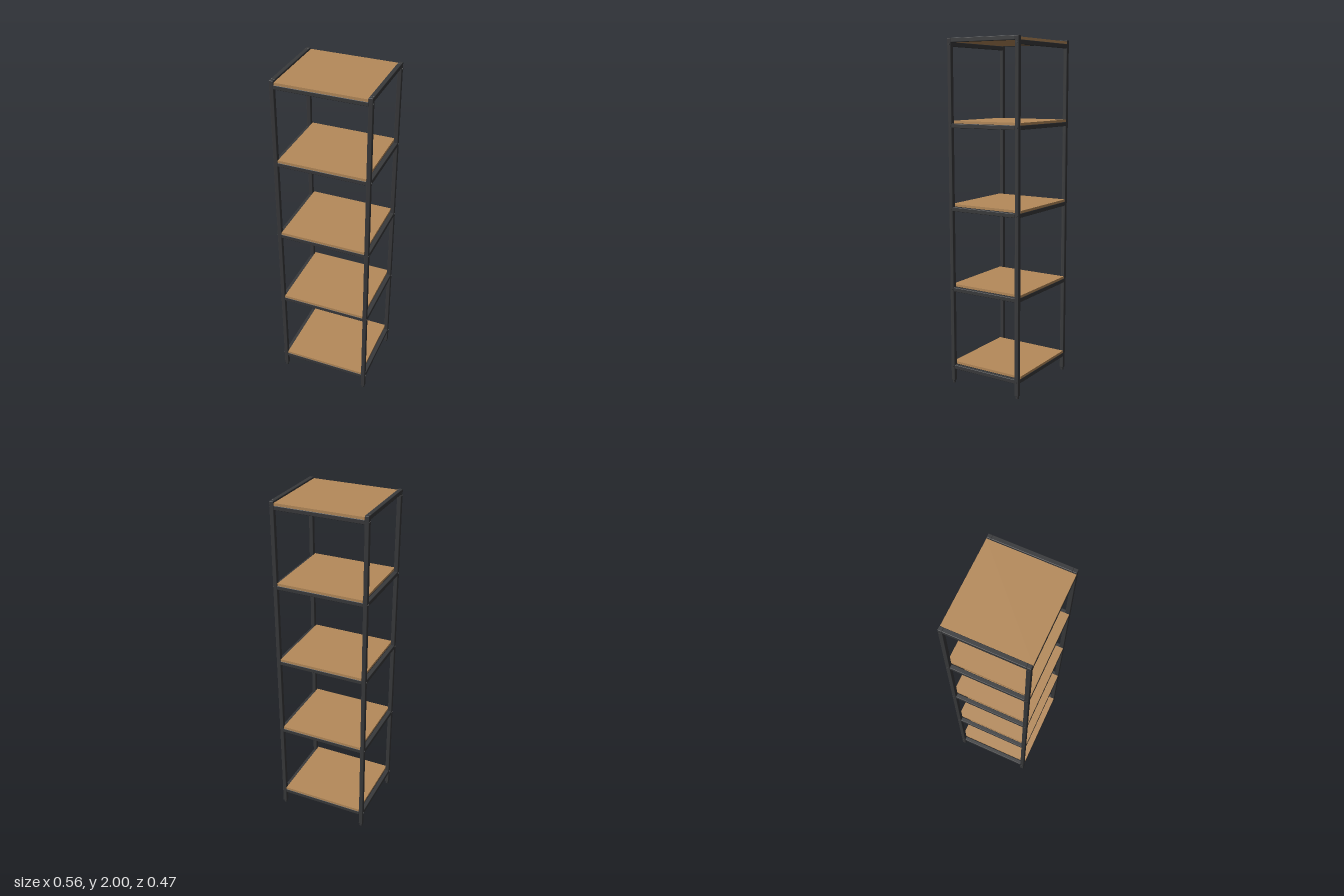
import * as THREE from 'three';
import { RoundedBoxGeometry } from 'three/addons/geometries/RoundedBoxGeometry.js';

const metal = new THREE.MeshStandardMaterial({ name: 'dark metal', color: 0x38393b });
const wood = new THREE.MeshStandardMaterial({ name: 'warm wood', color: 0xb58a5a });

const LEG_X = 0.263, LEG_Z = 0.221, BAR = 0.024;

export function createModel() {
  const model = new THREE.Group();
  model.name = 'shelfTower';

  const add = (parent, name, geometry, material, x, y, z) => {
    const mesh = new THREE.Mesh(geometry, material);
    mesh.name = name;
    mesh.position.set(x, y, z);
    parent.add(mesh);
    return mesh;
  };
  const bar = (w, h, d) => new RoundedBoxGeometry(w, h, d, 2, 0.003);

  // Four square posts on small feet
  const legGeo = bar(BAR, 1.985, BAR);
  const footGeo = new THREE.CylinderGeometry(0.009, 0.009, 0.02, 12);
  for (const sx of [-1, 1]) for (const sz of [-1, 1]) {
    add(model, 'leg', legGeo, metal, sx * LEG_X, 1.0075, sz * LEG_Z);
    add(model, 'foot', footGeo, metal, sx * LEG_X, 0.01, sz * LEG_Z);
  }

  // Five boards, each carried by a rail frame with bolts at the posts
  const boardGeo = new THREE.BoxGeometry(0.498, 0.014, 0.464);
  const crossGeo = bar(0.504, BAR, BAR);
  const sideGeo = bar(BAR, BAR, 0.42);
  const boltGeo = new THREE.CylinderGeometry(0.006, 0.006, 0.004, 12).rotateZ(Math.PI / 2);
  [0.127, 0.6, 1.073, 1.546, 1.992].forEach((top, i) => {
    const shelf = new THREE.Group();
    shelf.name = 'shelf';
    shelf.position.y = top;
    model.add(shelf);
    add(shelf, 'board', boardGeo, wood, 0, -0.007, 0);
    // The uppermost side rails close the frame flush with the post tops
    const sideY = i === 4 ? 2.0 - BAR / 2 - top : -0.026;
    for (const s of [-1, 1]) {
      add(shelf, 'crossRail', crossGeo, metal, 0, -0.026, s * LEG_Z);
      add(shelf, 'sideRail', sideGeo, metal, s * LEG_X, sideY, 0);
      for (const sz of [-1, 1])
        add(shelf, 'bolt', boltGeo, metal, s * (LEG_X + BAR / 2 + 0.001), -0.026, sz * LEG_Z);
    }
  });

  return model;
}
